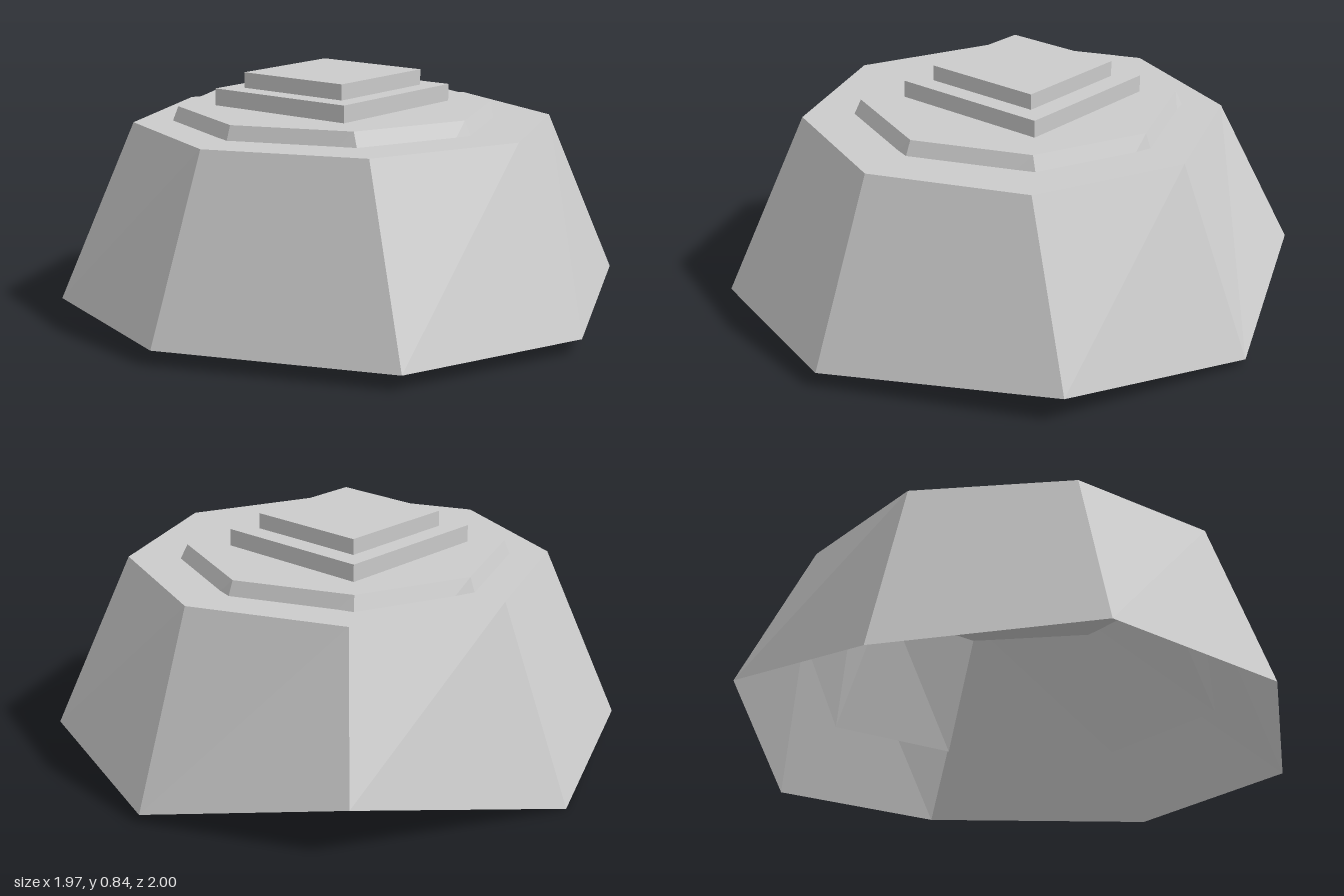
import * as THREE from 'three';

const material = new THREE.MeshStandardMaterial({
  color: 0xcccccc, flatShading: true, side: THREE.DoubleSide,
});

// Uneven lower rim as [x, y, z], counter-clockwise seen from above, starting at the front.
const rim = [
  [-0.01, 0.055, 1.0], [0.755, 0.09, 0.65], [0.985, 0.03, -0.03], [0.70, 0.165, -0.70],
  [-0.04, 0.005, -1.0], [-0.735, 0.055, -0.70], [-0.985, 0.055, -0.015], [-0.685, 0.055, 0.77],
];

// Regular octagon with a corner facing the front.
function octagon(radius, y, cx, cz) {
  return rim.map((_, i) => {
    const a = (i * Math.PI) / 4;
    return [cx + radius * Math.sin(a), y, cz + radius * Math.cos(a)];
  });
}

// Walls from the lower to the upper ring, closed on top and open below.
function openShell(name, lower, upper) {
  const n = lower.length;
  const index = [];
  for (let i = 0; i < n; i++) {
    const j = (i + 1) % n;
    index.push(i, j, n + j, i, n + j, n + i);
    if (i > 0 && i < n - 1) index.push(n, n + i, n + i + 1);
  }
  const geometry = new THREE.BufferGeometry();
  geometry.setAttribute('position', new THREE.Float32BufferAttribute([...lower, ...upper].flat(), 3));
  geometry.setIndex(index);
  const flat = geometry.toNonIndexed();
  flat.computeVertexNormals();
  const mesh = new THREE.Mesh(flat, material);
  mesh.name = name;
  return mesh;
}

function slab(name, width, height, depth, x, y, z) {
  const mesh = new THREE.Mesh(new THREE.BoxGeometry(width, height, depth), material);
  mesh.name = name;
  mesh.position.set(x, y, z);
  return mesh;
}

export function createModel() {
  const group = new THREE.Group();
  group.name = 'steppedDome';

  // Outer flared wall with its flat roof
  group.add(openShell('outerShell', rim, octagon(0.74, 0.68, -0.012, 0)));

  // Smaller copy nested inside, whose top pokes through the roof
  const innerRim = rim.map(([x, y, z]) => [x * 0.755, y * 0.755 + 0.217, z * 0.755 - 0.015]);
  group.add(openShell('innerShell', innerRim, octagon(0.557, 0.73, -0.014, -0.034)));

  // Two square steps on top
  group.add(slab('lowerStep', 0.596, 0.06, 0.58, -0.012, 0.76, -0.05));
  group.add(slab('upperStep', 0.446, 0.055, 0.44, -0.012, 0.8175, -0.05));

  return group;
}
